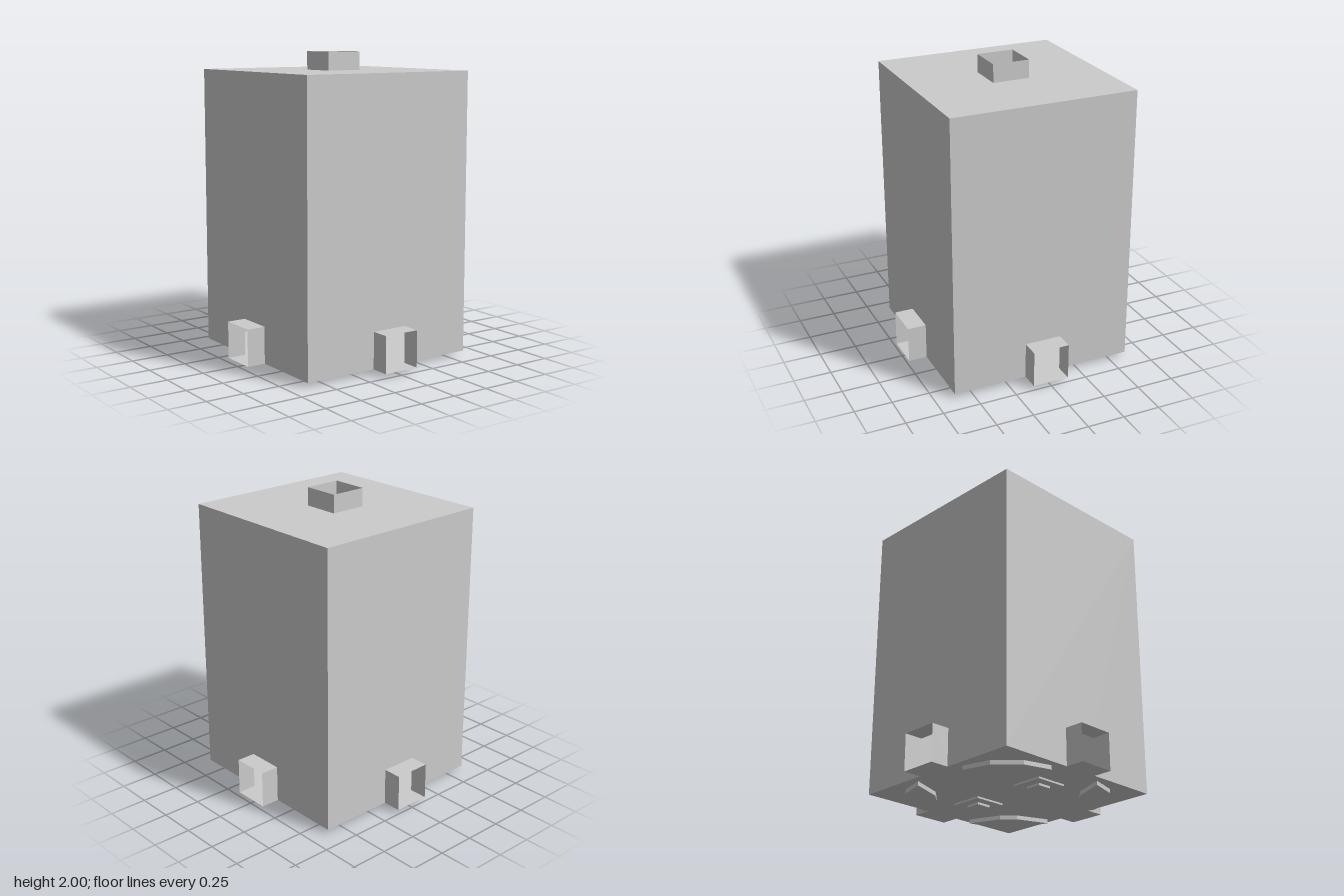
import * as THREE from 'three';

const HALF = 0.62;      // half width of the body
const BASE = 0.027;     // level of the floor
const TOP = 1.88;       // level of the roof
const DUCT = 0.123;     // half width of every opening
const REACH = 0.745;    // outer end of the side ducts
const DUCT_TOP = 0.27;

const material = new THREE.MeshStandardMaterial({
  color: 0xcccccc, flatShading: true, side: THREE.DoubleSide,
});

function add(parent, name, geometry) {
  const mesh = new THREE.Mesh(geometry, material);
  mesh.name = name;
  parent.add(mesh);
  return mesh;
}

function polygon(points) {
  return new THREE.Shape(points.map(([x, y]) => new THREE.Vector2(x, y)));
}

// Open thin tube: the outline in XY, swept from z0 to z1
function openStrip(points, z0, z1) {
  const pos = [];
  for (let i = 0; i < points.length - 1; i++) {
    const [ax, ay] = points[i], [bx, by] = points[i + 1];
    pos.push(ax, ay, z0, bx, by, z0, bx, by, z1, ax, ay, z0, bx, by, z1, ax, ay, z1);
  }
  const g = new THREE.BufferGeometry();
  g.setAttribute('position', new THREE.Float32BufferAttribute(pos, 3));
  g.computeVertexNormals();
  return g;
}

function createSide() {
  const side = new THREE.Group();
  side.name = 'side';
  // Wall with a doorway at its foot
  const wall = new THREE.ShapeGeometry(polygon([
    [-HALF, BASE], [-DUCT, BASE], [-DUCT, DUCT_TOP], [DUCT, DUCT_TOP],
    [DUCT, BASE], [HALF, BASE], [HALF, TOP], [-HALF, TOP],
  ]));
  add(side, 'wall', wall.translate(0, 0, HALF));
  // Duct open at its outer end
  add(side, 'sideDuct', openStrip([
    [DUCT, BASE], [DUCT, DUCT_TOP], [-DUCT, DUCT_TOP], [-DUCT, BASE], [DUCT, BASE],
  ], HALF, REACH));
  return side;
}

function createPost() {
  const post = new THREE.Group();
  post.name = 'innerPost';
  // [name, half width, bottom, top]
  for (const [name, r, y0, y1] of [
    ['postFoot', 0.05, 0, 0.015],
    ['postFlange', 0.11, 0.015, 0.033],
    ['postBlock', 0.083, 0.033, 0.137],
    ['postShaft', 0.05, 0.137, 0.4],
  ]) {
    add(post, name, new THREE.BoxGeometry(2 * r, y1 - y0, 2 * r).translate(0, (y0 + y1) / 2, 0));
  }
  return post;
}

export function createModel() {
  const model = new THREE.Group();
  model.name = 'ductedBox';

  // Four walls with ducts
  for (let i = 0; i < 4; i++) {
    const side = createSide();
    side.rotation.y = i * Math.PI / 2;
    model.add(side);
  }

  // Floor and roof, the roof pierced under the chimney
  const square = (r) => [[-r, -r], [r, -r], [r, r], [-r, r]];
  add(model, 'floor', new THREE.ShapeGeometry(polygon(square(HALF)))
    .rotateX(Math.PI / 2).translate(0, BASE, 0));
  const roof = polygon(square(HALF));
  roof.holes.push(polygon(square(DUCT)));
  add(model, 'roof', new THREE.ShapeGeometry(roof).rotateX(-Math.PI / 2).translate(0, TOP, 0));

  // Chimney, open at the top
  const rim = [...square(DUCT), square(DUCT)[0]];
  add(model, 'chimney', openStrip(rim, TOP, 2).rotateX(-Math.PI / 2));

  // Faceted foot pads under the corners
  const pad = polygon([
    [0.57, 0.2], [0.52, 0.38], [0.38, 0.52], [0.2, 0.57], [0.28, 0.36], [0.36, 0.28],
  ]);
  for (let i = 0; i < 4; i++) {
    const g = new THREE.ExtrudeGeometry(pad, { depth: BASE, bevelEnabled: false });
    add(model, 'footPad', g.rotateX(-Math.PI / 2).rotateY(i * Math.PI / 2));
  }

  // Two stepped posts standing on the floor
  for (const x of [-0.27, 0.27]) {
    const post = createPost();
    post.position.x = x;
    model.add(post);
  }
  return model;
}
